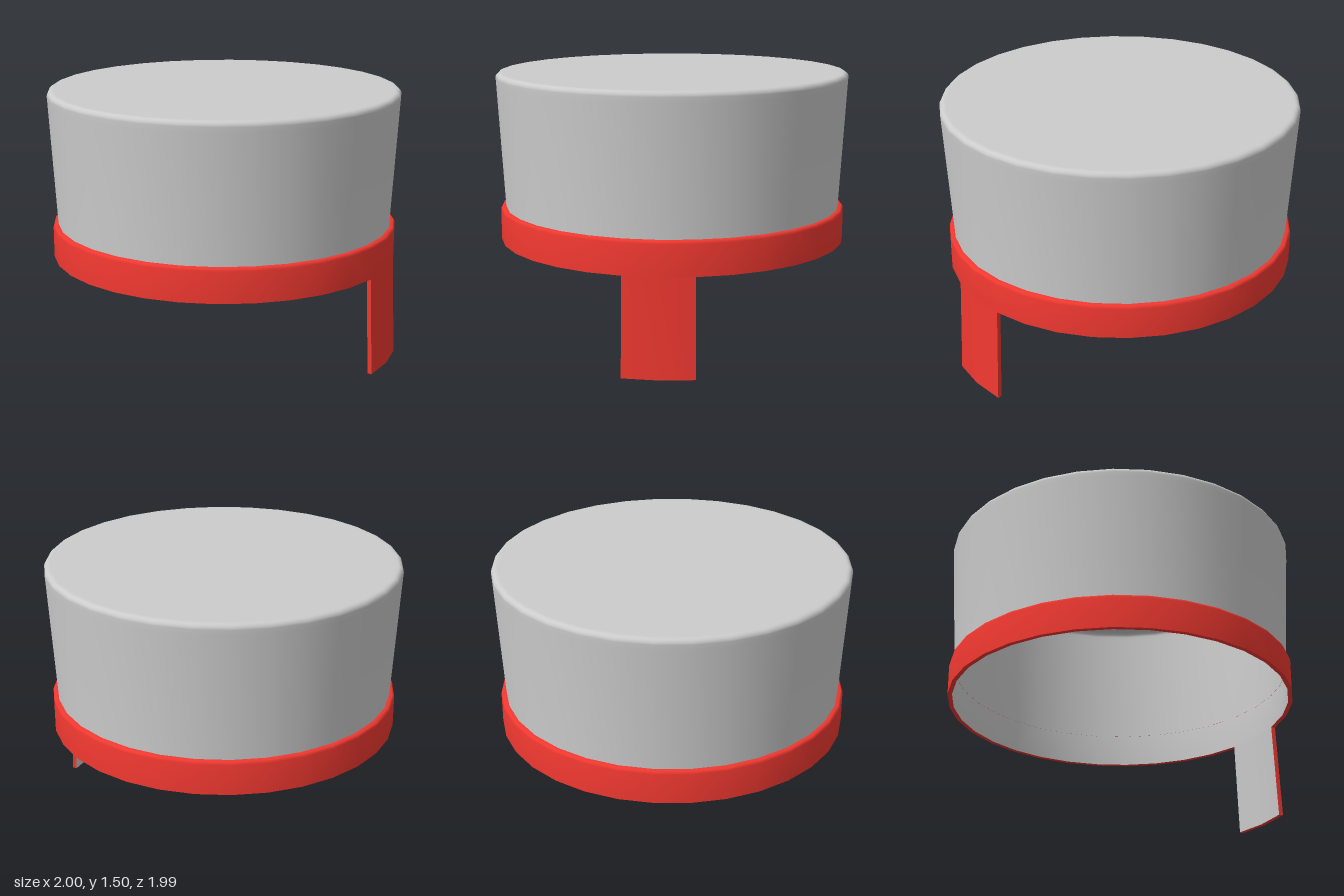
import * as THREE from 'three';
import { toCreasedNormals } from 'three/addons/utils/BufferGeometryUtils.js';

const SIDES = 32;
const grey = new THREE.MeshStandardMaterial({ color: 0xcccccc, side: THREE.DoubleSide });
const red = new THREE.MeshStandardMaterial({ color: 0xf03830, side: THREE.DoubleSide });

const points = (list) => list.map(([r, y]) => new THREE.Vector2(r, y));

function add(parent, name, geometry, material) {
  const mesh = new THREE.Mesh(geometry, material);
  mesh.name = name;
  parent.add(mesh);
  return mesh;
}

export function createModel() {
  const model = new THREE.Group();
  model.name = 'bottleCap';
  const cap = new THREE.Group();
  cap.name = 'cap';
  cap.position.x = -0.004; // the flared tab reaches slightly past the rim
  model.add(cap);

  // Thin hollow shell: collar lining, flared wall, rounded shoulder, flat top
  const profile = [[0.957, 0.545], [0.953, 0.735], [0.993, 1.44]];
  const fillet = 0.03;
  for (let i = 0; i <= 5; i++) {
    const a = (i / 5) * Math.PI / 2;
    profile.push([0.965 + fillet * Math.cos(a), 1.47 + fillet * Math.sin(a)]);
  }
  profile.push([0.95, 1.5], [0, 1.5]);
  add(cap, 'shell', new THREE.LatheGeometry(points(profile), SIDES), grey);

  // Collar band around the lower edge
  const band = [[0.957, 0.545], [0.982, 0.545], [0.982, 0.718], [0.979, 0.73], [0.972, 0.735], [0.952, 0.735]];
  add(cap, 'collarBand', toCreasedNormals(new THREE.LatheGeometry(points(band), SIDES), 0.9), red);

  // Pull tab: two facets wide, flaring outward as it hangs down
  const tab = new THREE.Group();
  tab.name = 'pullTab';
  cap.add(tab);
  const half = (2 * Math.PI) / SIDES;
  const arc = (list) => new THREE.LatheGeometry(points(list), 2, Math.PI / 2 - half, 2 * half);
  add(tab, 'tabOuter', toCreasedNormals(arc([[0.979, 0], [1.004, 0], [0.982, 0.545]]), 0.9), red);
  add(tab, 'tabLining', arc([[0.957, 0.545], [0.979, 0]]), grey);

  // Side edges of the tab
  const edge = new THREE.Shape(points([[0.979, 0], [1.004, 0], [0.982, 0.545], [0.957, 0.545]]));
  for (const side of [-1, 1]) {
    add(tab, 'tabEdge', new THREE.ShapeGeometry(edge), red).rotation.y = side * half;
  }
  return model;
}
